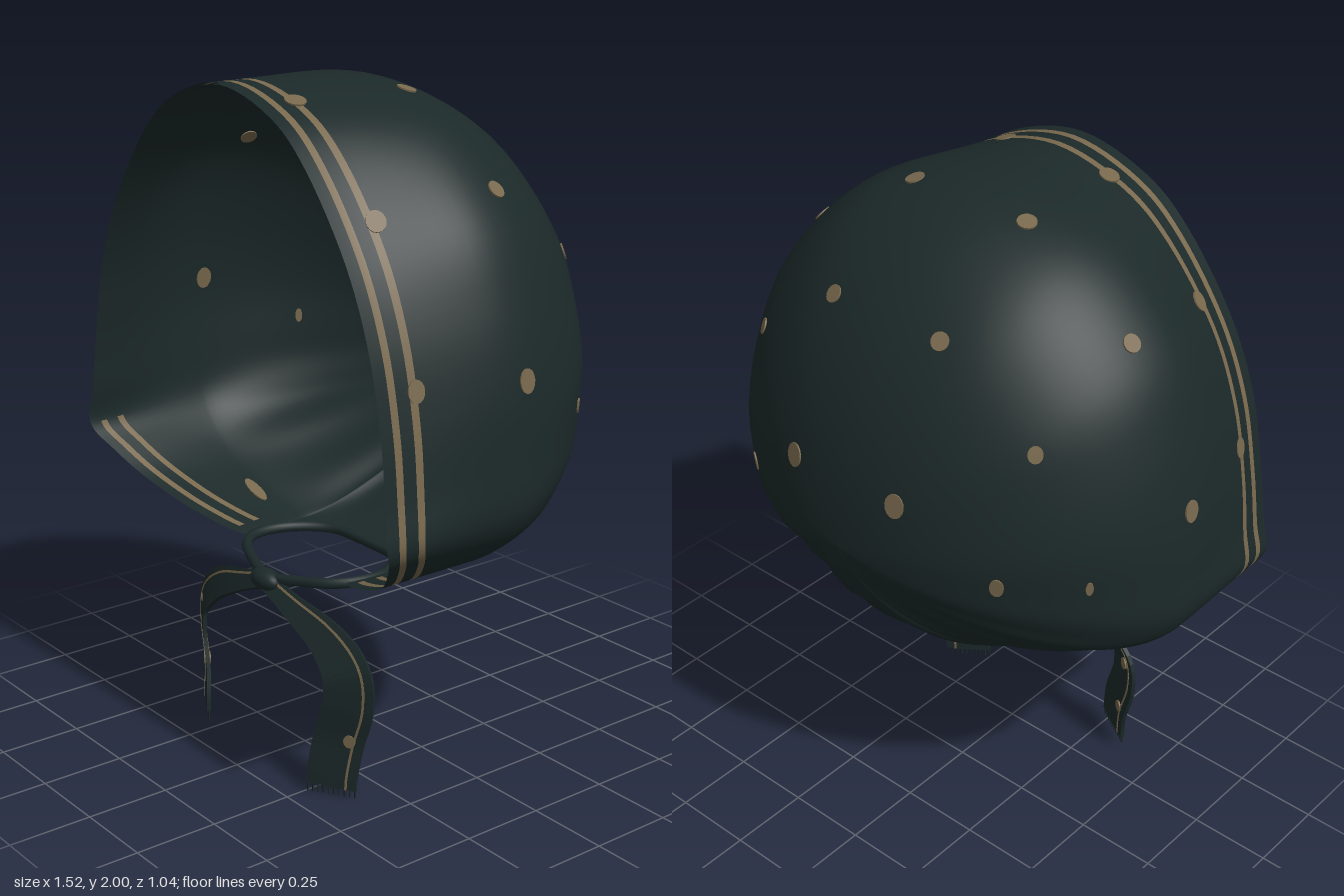
import * as THREE from 'three';

const cloth = new THREE.MeshStandardMaterial({ color: 0x1c2929, side: THREE.DoubleSide });
cloth.name = 'dark green cloth';
const gold = new THREE.MeshStandardMaterial({ color: 0x78684d, side: THREE.DoubleSide });
gold.name = 'dull gold print';

const V = (x, y, z) => new THREE.Vector3(x, y, z);
const smooth = THREE.MathUtils.smoothstep;

// Half outlines from the crown down to the back of the neck: open edge, and widest section
const RIM = [[0, 2, .51], [.23, 1.94, .51], [.386, 1.82, .51], [.545, 1.61, .51], [.64, 1.4, .51],
  [.69, 1.18, .51], [.715, 1.0, .515], [.73, .88, .52], [.67, .80, .475], [.57, .72, .42],
  [.40, .65, .36], [.25, .60, .28], [.24, .59, .15], [.14, .585, .04], [0, .58, 0]];
const MID = [[0, 2, .12], [.25, 1.96, .12], [.44, 1.865, .12], [.62, 1.68, .12], [.71, 1.47, .11],
  [.755, 1.25, .1], [.76, 1.05, .1], [.75, .9, .1], [.685, .80, .1], [.57, .72, .1],
  [.40, .65, .08], [.28, .605, .06], [.25, .595, .04], [.15, .585, .01], [0, .58, 0]];
const POLE = V(0, 1.12, -.52);
const KNOTS = 28;

function loop(half) {
  const right = half.map(p => V(...p));
  const left = half.slice(1, -1).reverse().map(([x, y, z]) => V(-x, y, z));
  return new THREE.CatmullRomCurve3([...right, ...left], true, 'catmullrom', 0.5);
}

// Open hood: band behind the edge, then a dome to the back; a plain facing lines the hem of the arch
function hood() {
  const cols = 168, stripes = [0, .036, .058, .097, .119], bandRows = 8, domeRows = 30;
  const rim = loop(RIM), mid = loop(MID), pos = [], plain = [], printed = [], lined = [];
  const rows = stripes.length + bandRows + domeRows;
  for (let r = 0; r < rows; r++) {
    for (let c = 0; c < cols; c++) {
      const B = rim.getPoint(c / cols), M = mid.getPoint(c / cols);
      const L = B.distanceTo(M), d = stripes.map(s => L < 1e-4 ? 0 : s * Math.min(1, L / .2) / L);
      let p;
      if (r < stripes.length + bandRows) {
        const last = d[d.length - 1];
        const t = r < d.length ? d[r] : last + (1 - last) * (r - d.length + 1) / bandRows;
        const e = smooth(t, 0, 1);
        p = V(B.x + (M.x - B.x) * e, B.y + (M.y - B.y) * e, B.z + (M.z - B.z) * t);
      } else {
        const a = (r - stripes.length - bandRows + 1) / domeRows * Math.PI / 2;
        // flatter underside, with soft gathers rising from the neck
        const k = c / cols * KNOTS - 14;
        const low = smooth(9.5 - Math.abs(k), 0, 5), e = 1 + .28 * low;
        const co = Math.max(0, Math.cos(a)) ** e, si = Math.sin(a) ** e;
        const fold = .016 * low * Math.cos(k * Math.PI * 1.3) * Math.sin(2 * a) ** 2 * co;
        const s = co * (1 + fold);
        p = V(M.x * s, POLE.y + (M.y - POLE.y) * s, M.z + (POLE.z - M.z) * si * (1 + fold));
      }
      pos.push(p.x, p.y, p.z);
    }
  }
  for (let r = 0; r < rows - 1; r++) {
    for (let c = 0; c < cols; c++) {
      const n = (c + 1) % cols, a = r * cols + c, b = r * cols + n;
      const k = Math.abs((c + .5) / cols * KNOTS - 14);
      const quad = [a, b, a + cols, b, b + cols, a + cols];
      ((r === 1 || r === 3) && k > 3.4 ? printed : plain).push(...quad);
      if (r < stripes.length && k > 7) lined.push(...quad);
    }
  }
  const g = new THREE.BufferGeometry();
  g.setAttribute('position', new THREE.Float32BufferAttribute(pos, 3));
  g.setIndex([...plain, ...printed]);
  g.addGroup(0, plain.length, 0);
  g.addGroup(plain.length, printed.length, 1);
  g.computeVertexNormals();
  const shell = new THREE.Mesh(g, [cloth, gold]);
  shell.name = 'hood';

  const inner = g.clone();
  inner.clearGroups();
  inner.setIndex(lined);
  const P = inner.attributes.position, N = inner.attributes.normal;
  for (let i = 0; i < P.count; i++) {
    P.setXYZ(i, P.getX(i) - N.getX(i) * .005, P.getY(i) - N.getY(i) * .005, P.getZ(i) - N.getZ(i) * .005);
  }
  const facing = new THREE.Mesh(inner, cloth);
  facing.name = 'hemFacing';
  return { shell, facing };
}

// Tail band swept along a path: offset moves it sideways, and its inner edge leans forward
const TILT = .6;
function ribbon(name, points, width, offset, thick, material) {
  const curve = new THREE.CatmullRomCurve3(points), n = 36, pos = [], idx = [];
  for (let i = 0; i <= n; i++) {
    const t = i / n, p = curve.getPoint(t), d = curve.getTangent(t);
    const side = V(d.y, -d.x, 0).normalize();
    if (points[points.length - 1].x < 0) side.negate();
    side.z = TILT;
    const up = side.clone().cross(d).normalize();
    for (const [u, v] of [[-1, -1], [1, -1], [1, 1], [-1, 1]]) {
      const q = p.clone().addScaledVector(side, u * width(t) / 2 + offset(t)).addScaledVector(up, v * thick / 2);
      pos.push(q.x, q.y, q.z);
    }
  }
  for (let i = 0; i < n; i++) for (let j = 0; j < 4; j++) {
    const a = i * 4 + j, b = i * 4 + (j + 1) % 4;
    idx.push(a, b, a + 4, b, b + 4, a + 4);
  }
  idx.push(0, 2, 1, 0, 3, 2, n * 4, n * 4 + 1, n * 4 + 2, n * 4, n * 4 + 2, n * 4 + 3);
  let g = new THREE.BufferGeometry();
  g.setAttribute('position', new THREE.Float32BufferAttribute(pos, 3));
  g.setIndex(idx);
  g = g.toNonIndexed();
  g.computeVertexNormals();
  const mesh = new THREE.Mesh(g, material);
  mesh.name = name;
  return mesh;
}

// Thin oval facing along the normal, stretched uphill
function dot(point, normal, radius, stretch, thick) {
  const m = new THREE.Mesh(new THREE.CylinderGeometry(radius, radius, thick, 16).rotateX(Math.PI / 2), gold);
  m.position.copy(point);
  m.lookAt(point.clone().add(normal));
  m.scale.y = stretch;
  m.name = 'printed dot';
  return m;
}

export function createModel() {
  const model = new THREE.Group();
  model.name = 'bonnet';
  const { shell, facing } = hood();
  model.add(shell, facing);

  // Printed dots, showing on both faces of the cloth: position, radius, stretch
  const dots = new THREE.Group();
  dots.name = 'dots';
  const centre = V(0, 1.15, 0), ray = new THREE.Raycaster();
  const spots = [[.195, 1.95, .03, .028, 1], [.56, 1.74, .025, .026, 1], [.74, 1.27, .075, .026, 1.3],
    [.185, 1.96, .395, .03, 1], [.52, 1.7, .395, .028, 1.1], [.7, 1.29, .405, .024, 1.3],
    [.195, 1.76, -.31, .026, 1], [.51, 1.53, -.29, .021, 1.15], [.185, 1.32, -.48, .029, 1.25],
    [.46, 1.13, -.385, .02, 1.5], [.62, 1.125, -.21, .011, 2], [.42, .66, .12, .02, 2.8]];
  for (const [x, y, z, radius, stretch] of spots) for (const s of [1, -1]) {
    ray.set(centre, V(x * s, y, z).sub(centre).normalize());
    const hit = ray.intersectObject(shell)[0];
    if (hit) dots.add(dot(hit.point, hit.face.normal, radius, stretch, .008));
  }
  model.add(dots);

  // Knot under the chin
  const knot = new THREE.Mesh(new THREE.SphereGeometry(1, 20, 14), cloth);
  knot.scale.set(.06, .032, .035);
  knot.position.set(0, .56, .385);
  knot.name = 'knot';
  model.add(knot);

  const tailWidth = t => .045 + .085 * smooth(t, 0, .5);
  for (const s of [1, -1]) {
    const side = s > 0 ? 'left' : 'right', end = s > 0 ? .025 : .055;
    // Rolled tie along the neck edge to the knot
    const tie = [[0, .565, .385], [.1, .578, .355], [.2, .59, .31], [.245, .594, .25], [.24, .592, .14], [.15, .59, .03], [0, .59, .015]];
    const tube = new THREE.TubeGeometry(new THREE.CatmullRomCurve3(tie.map(([x, y, z]) => V(x * s, y, z))), 40, .016, 8);
    const tieMesh = new THREE.Mesh(tube, cloth);
    tieMesh.name = side + 'Tie';
    model.add(tieMesh);
    // Hanging tail with a fine printed line by its outer edge
    const path = [[0, .56, .39], [.13, .515, .385], [.27, .455, .37], [.352, .38, .365], [.362, .29, .365],
      [.33, .17, .375], [.316, end + .04, .388], [.314, end, .39]].map(([x, y, z]) => V(x * s, y, z));
    model.add(ribbon(side + 'Tail', path, tailWidth, () => 0, .012, cloth));
    model.add(ribbon(side + 'TailLine', path, () => .006, t => -.3 * tailWidth(t), .016, gold));
    // Printed dots on the tail
    const face = V(TILT * s, 0, 1).normalize();
    for (const [x, y, z] of s > 0 ? [[.36, .175, .357]] : [[.376, .365, .35], [.36, .175, .357]]) {
      model.add(dot(V(x * s, y, z), face, .018, 1.1, .02));
    }
    // Fringe threads
    const fringe = new THREE.Group();
    fringe.name = side + 'Fringe';
    for (let i = 0; i < 10; i++) {
      const u = (i / 9 - .5) * .124, thread = new THREE.Mesh(new THREE.BoxGeometry(.004, .025, .004), cloth);
      thread.position.set(s * (.314 - u), end - .0125, .39 + u * TILT);
      fringe.add(thread);
    }
    model.add(fringe);
  }
  return model;
}
